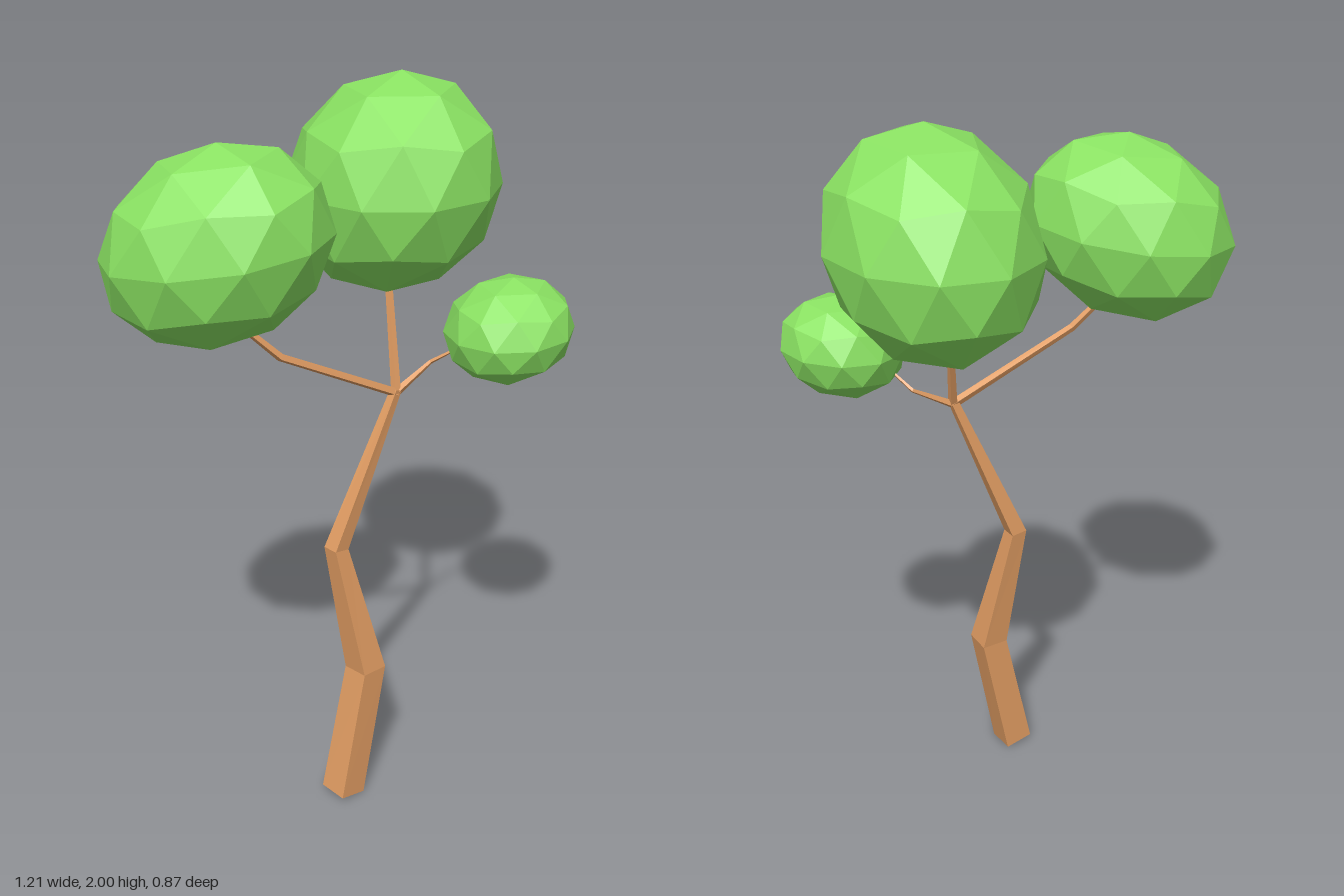
import * as THREE from 'three';

const bark = new THREE.MeshStandardMaterial({ color: 0xe09c62, flatShading: true });
const leaf = new THREE.MeshStandardMaterial({ color: 0x8ae262, flatShading: true });

// Four-sided tapering limb through points [x, y, z, half diagonal]
function limb(name, stations) {
  const pts = stations.map(([x, y, z]) => new THREE.Vector3(x, y, z));
  const last = pts.length - 1;
  const position = [], index = [];
  pts.forEach((p, j) => {
    const t = pts[Math.min(j + 1, last)].clone().sub(pts[Math.max(j - 1, 0)]).normalize();
    const v = new THREE.Vector3(-0.34, 0, 0.94);
    v.addScaledVector(t, -v.dot(t)).normalize();
    const w = t.clone().cross(v);
    for (let i = 0; i < 4; i++) {
      const a = i * Math.PI / 2, r = stations[j][3];
      position.push(...p.clone().addScaledVector(v, r * Math.cos(a)).addScaledVector(w, r * Math.sin(a)).toArray());
      if (j < last) {
        const k = j * 4, n = (i + 1) % 4;
        index.push(k + i, k + n, k + 4 + n, k + i, k + 4 + n, k + 4 + i);
      }
    }
  });
  // End caps
  const e = last * 4;
  index.push(0, 2, 1, 0, 3, 2, e, e + 1, e + 2, e, e + 2, e + 3);
  const geometry = new THREE.BufferGeometry();
  geometry.setAttribute('position', new THREE.Float32BufferAttribute(position, 3));
  geometry.setIndex(index);
  geometry.computeVertexNormals();
  const mesh = new THREE.Mesh(geometry, bark);
  mesh.name = name;
  return mesh;
}

// Faceted leaf ball, a corner pointing up, spanned by three slightly skewed radius vectors
function foliage(name, center, rx, ry, rz) {
  const geometry = new THREE.IcosahedronGeometry(1, 1);
  geometry.rotateZ(Math.atan(2 / (1 + Math.sqrt(5)))).rotateY(Math.PI);
  const basis = new THREE.Matrix4().makeBasis(
    new THREE.Vector3(...rx), new THREE.Vector3(...ry), new THREE.Vector3(...rz));
  geometry.applyMatrix4(basis.setPosition(...center));
  geometry.computeVertexNormals();
  const mesh = new THREE.Mesh(geometry, leaf);
  mesh.name = name;
  return mesh;
}

export function createModel() {
  const tree = new THREE.Group();
  tree.name = 'tree';

  // Crooked trunk
  tree.add(limb('trunk', [
    [-0.024, 0.012, 0.215, 0.06],
    [0.051, 0.4, 0.18, 0.056],
    [-0.027, 0.78, 0.152, 0.033],
    [0.15, 1.21, 0.11, 0.015],
  ]));

  // Branches from the fork
  tree.add(limb('rightBranch', [
    [0.15, 1.2, 0.11, 0.013], [-0.19, 1.375, 0.21, 0.011], [-0.32, 1.5, 0.22, 0.008]]));
  tree.add(limb('topBranch', [
    [0.15, 1.2, 0.11, 0.013], [0.16, 1.45, 0.01, 0.01], [0.18, 1.56, -0.03, 0.008]]));
  tree.add(limb('leftBranch', [
    [0.15, 1.2, 0.11, 0.012], [0.26, 1.26, 0.07, 0.006], [0.36, 1.34, 0.14, 0.002]]));

  // Leaf balls
  tree.add(foliage('rightFoliage', [-0.336, 1.662, 0.187],
    [0.281, 0.034, 0.013], [0.006, 0.248, 0.01], [0.008, 0.01, 0.258]));
  tree.add(foliage('topFoliage', [0.203, 1.705, -0.108],
    [0.281, 0.008, 0.015], [0.014, 0.295, 0.02], [0, 0.005, 0.321]));
  tree.add(foliage('leftFoliage', [0.442, 1.365, 0.157],
    [0.171, 0.01, 0], [0.006, 0.14, 0], [0, 0, 0.178]));

  return tree;
}
